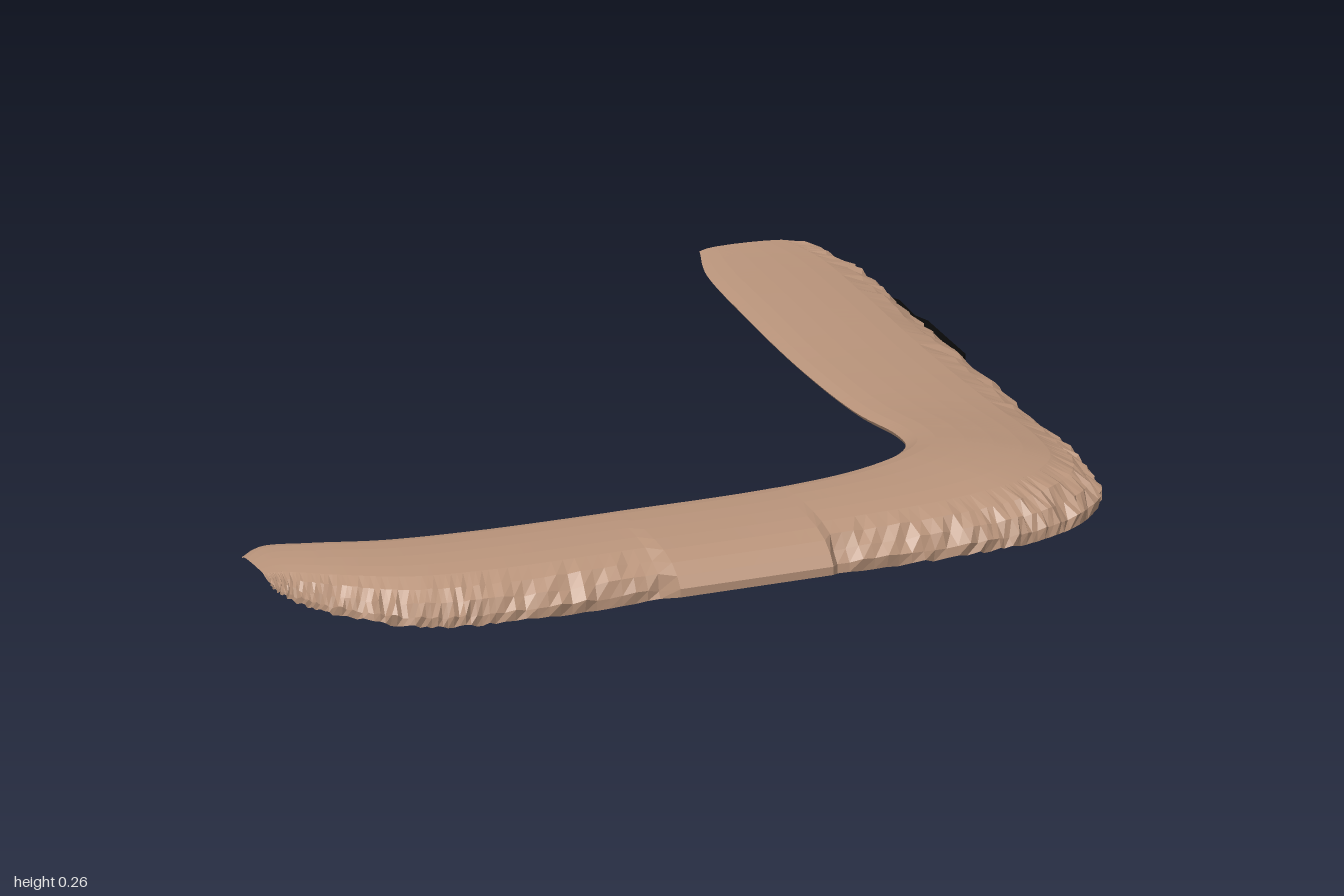
import * as THREE from 'three';

// Stations along the L: inner x, inner z, outer x, outer z, crown height, lower edge height
const STATIONS = [
  [-1.0, 0.42, -1.0, 0.58, 0.215, 0.195],
  [-0.945, 0.385, -0.965, 0.62, 0.225, 0.172],
  [-0.85, 0.425, -0.88, 0.715, 0.237, 0.155],
  [-0.7, 0.475, -0.74, 0.805, 0.242, 0.14],
  [-0.5, 0.5, -0.57, 0.835, 0.243, 0.135],
  [-0.2, 0.51, -0.2, 0.838, 0.243, 0.135],
  [0.2, 0.51, 0.2, 0.838, 0.243, 0.135],
  [0.4, 0.49, 0.57, 0.838, 0.25, 0.135],
  [0.52, 0.445, 0.76, 0.805, 0.256, 0.135],
  [0.58, 0.38, 0.91, 0.685, 0.252, 0.135],
  [0.597, 0.28, 0.955, 0.5, 0.24, 0.14],
  [0.583, 0.1, 0.968, 0.2, 0.222, 0.142],
  [0.577, -0.2, 0.968, -0.2, 0.219, 0.145],
  [0.585, -0.55, 0.965, -0.55, 0.23, 0.15],
  [0.597, -0.78, 0.945, -0.77, 0.237, 0.175],
  [0.625, -0.88, 0.88, -0.865, 0.242, 0.21],
];

// Cushion shell section: position from inner (0) to outer (1) edge, height from lower edge (0) to crown (1)
const SECTION = [
  [0.015, 0.66], [0, 0.76], [0.06, 0.9], [0.15, 0.97], [0.3, 1], [0.45, 0.99], [0.6, 0.95], [0.74, 0.87], [0.86, 0.71],
  [0.94, 0.48], [0.99, 0.22], [0.985, 0],
];
const STRIP = [[0.76, 0.14], [0.95, 0.06]];

const curve = (pick) => new THREE.CatmullRomCurve3(STATIONS.map((s) => new THREE.Vector3(...pick(s))));
const inner = curve((s) => [s[0], s[4], s[1]]);
const outer = curve((s) => [s[2], s[5], s[3]]);

function seeded(seed) {
  let n = seed;
  return () => (n = (n * 16807) % 2147483647) / 2147483647;
}

// Sweeps an open section between the two edge curves; crinkle roughens the outer rim
function sweep(section, u0, u1, rows, crinkle = 0) {
  const rand = seeded(41);
  const pos = [], idx = [], n = section.length;
  for (let i = 0; i <= rows; i++) {
    const u = u0 + (u1 - u0) * i / rows;
    const a = inner.getPoint(u), b = outer.getPoint(u);
    // smooth tab standing out from the front edge
    const tab = b.z > 0.6 && b.x > -0.185 && b.x < 0.21;
    if (tab) b.set(b.x, 0.152, 0.884);
    for (const [s, t] of section) {
      const rough = s > 0.8 && !tab ? crinkle * (rand() - 0.5) * (s > 0.93 ? 1 : 0.5) : 0;
      const k = s + rough * 1.6;
      pos.push(a.x + (b.x - a.x) * k, b.y + (a.y - b.y) * t + rough * 0.5, a.z + (b.z - a.z) * k);
    }
  }
  for (let i = 0; i < rows; i++) {
    for (let j = 0; j < n - 1; j++) {
      const p = i * n + j;
      idx.push(p, p + 1, p + n, p + 1, p + n + 1, p + n);
    }
  }
  const g = new THREE.BufferGeometry();
  g.setAttribute('position', new THREE.Float32BufferAttribute(pos, 3));
  g.setIndex(idx);
  g.computeVertexNormals();
  return g;
}

const polygon = (pts) => new THREE.Shape(pts.map((p) => new THREE.Vector2(...p)));
const extrude = (shape, depth) => new THREE.ExtrudeGeometry(shape, { depth, bevelEnabled: false });

export function createModel() {
  const model = new THREE.Group();
  const tan = new THREE.MeshStandardMaterial({ color: 0xb8937a, flatShading: true, side: THREE.DoubleSide });
  tan.name = 'tan padding';
  const black = new THREE.MeshStandardMaterial({ color: 0x080808, flatShading: true, side: THREE.DoubleSide });
  black.name = 'black backing';

  const add = (name, geometry, material) => {
    const mesh = new THREE.Mesh(geometry, material);
    mesh.name = name;
    model.add(mesh);
  };

  // L-shaped padded shell, open below, with a crinkled outer rim
  add('pad', sweep(SECTION, 0, 1, 200, 0.024), tan);

  // Dark strips beneath the outer edge, either side of the tab
  const last = STATIONS.length - 1;
  for (const [name, from, to] of [['leftArmStrip', 2, 5], ['cornerStrip', 6.1, 10.4]]) {
    add(name, sweep(STRIP, from / last, to / last, 40), black);
  }

  // Hanging side wall with small openings, drawn as (z, y) and extruded sideways
  const wall = polygon([
    [0.52, 0.15], [0.5, 0.125], [0.46, 0.1], [0.43, 0.05], [0.425, 0.004], [0.2, 0], [-0.53, 0.004],
    [-0.55, 0.02], [-0.56, 0.07], [-0.62, 0.105], [-0.66, 0.15],
  ]);
  for (const [z, y, w, h] of [
    [0.385, 0.065, 0.014, 0.035], [0.2, 0.06, 0.012, 0.025], [0.07, 0.09, 0.01, 0.015], [-0.01, 0.06, 0.012, 0.035],
    [-0.16, 0.09, 0.01, 0.015], [-0.29, 0.09, 0.012, 0.018], [-0.41, 0.06, 0.013, 0.035], [-0.53, 0.055, 0.01, 0.025],
  ]) {
    wall.holes.push(new THREE.Path([[z - w, y - h], [z + w, y - h * 0.7], [z, y + h]].map((p) => new THREE.Vector2(...p))));
  }
  add('sideWall', extrude(wall, 0.055).rotateY(-Math.PI / 2).translate(0.927, 0, 0), black);

  // Flange joining the wall to the pad
  const flange = polygon([
    [0.86, 0.52], [0.93, 0.49], [0.95, 0.3], [0.957, -0.22], [0.99, -0.26], [0.995, -0.48],
    [0.982, -0.52], [0.988, -0.62], [0.945, -0.73], [0.86, -0.7],
  ]);
  add('wallFlange', extrude(flange, 0.02).rotateX(Math.PI / 2).translate(0, 0.158, 0), black);

  // Outer lip flaring from the wall up to the flange, drawn as (x, y) and run along z
  const lip = polygon([[0.92, 0.108], [0.94, 0.12], [0.952, 0.145], [0.952, 0.152], [0.9, 0.152]]);
  add('wallLip', extrude(lip, 1.06).translate(0, 0, -0.61), black);

  return model;
}
